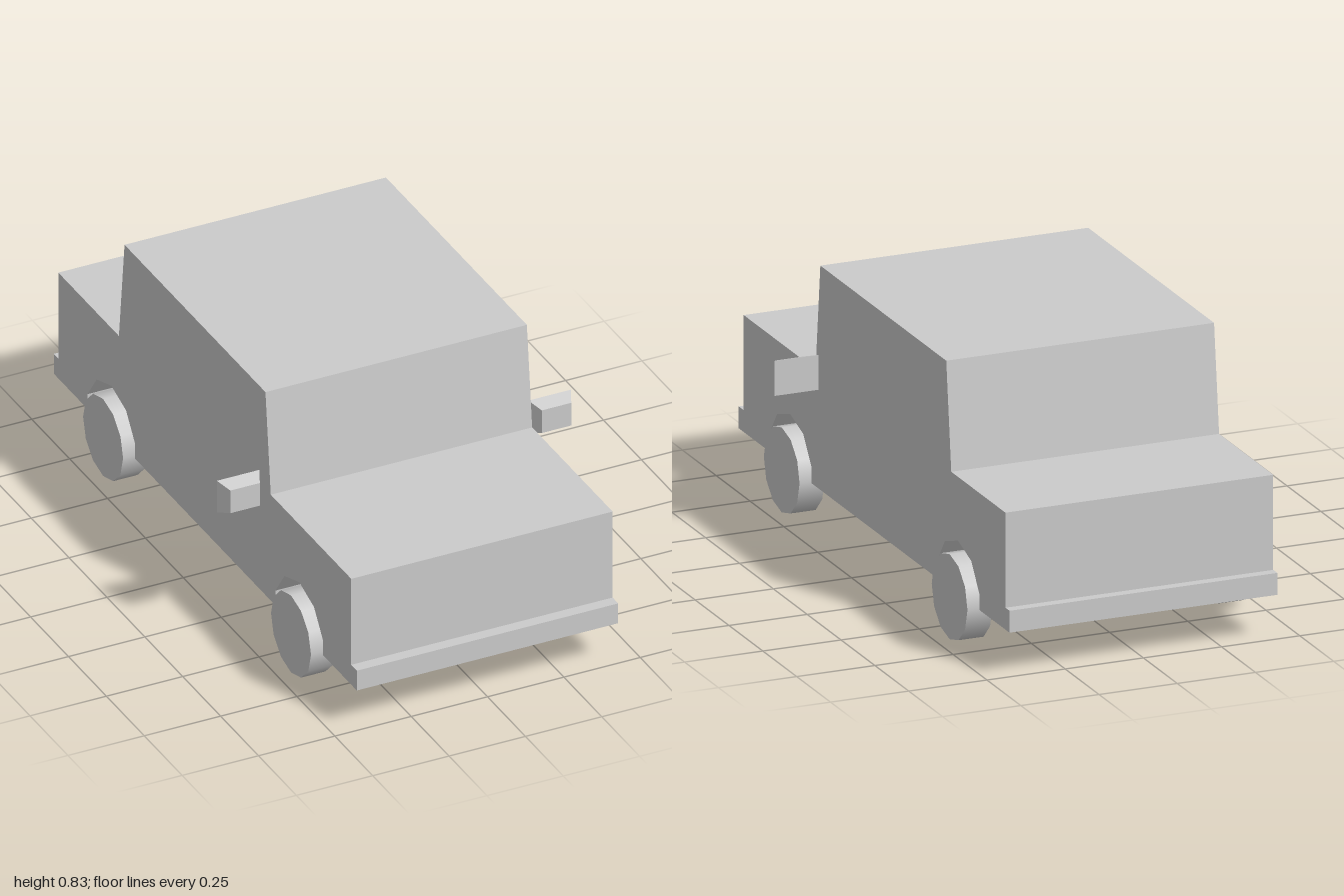
import * as THREE from 'three';

const FLOOR = 0.137, HALF_WIDTH = 0.428, WELL_INNER = 0.31;
const AXLES = [0.62, -0.62];

// Upper part of a ten-sided wheel arch, from the front foot over to the rear foot
function archPoints(axleZ) {
  const r = 0.165, pts = [];
  for (const deg of [18, 54, 90, 126, 162]) {
    const a = THREE.MathUtils.degToRad(deg);
    pts.push([axleZ + r * Math.cos(a), FLOOR + r * Math.sin(a)]);
  }
  return [[pts[0][0], FLOOR], ...pts, [pts[4][0], FLOOR]];
}

// Extrude a side profile of [z, y] points across the width
function extrudeAcross(points, halfWidth) {
  const shape = new THREE.Shape(points.map(([z, y]) => new THREE.Vector2(z, y)));
  return new THREE.ExtrudeGeometry(shape, { depth: 2 * halfWidth, bevelEnabled: false })
    .rotateY(-Math.PI / 2)
    .translate(halfWidth, 0, 0);
}

export function createModel() {
  const group = new THREE.Group();
  const material = new THREE.MeshStandardMaterial({ color: 0xcccccc });
  const add = (name, geometry) => {
    const mesh = new THREE.Mesh(geometry, material);
    mesh.name = name;
    group.add(mesh);
    return mesh;
  };

  // Body: bumpers, bonnet, cabin and boot in one profile with the arches cut out
  add('body', extrudeAcross([
    [-1, FLOOR], [-1, 0.205], [-0.97, 0.205], [-0.97, 0.5],
    [-0.57, 0.5], [-0.533, 0.833], [0.397, 0.833], [0.432, 0.5],
    [0.963, 0.5], [0.963, 0.205], [1, 0.205], [1, FLOOR],
    ...archPoints(AXLES[0]), ...archPoints(AXLES[1]),
  ], HALF_WIDTH));

  AXLES.forEach((z, i) => {
    const end = i === 0 ? 'front' : 'rear';

    // Floor between the wheel wells, closing their inner sides
    add(`${end}WheelWell`, extrudeAcross(archPoints(z), WELL_INNER));

    // Wheels: twelve sides with a corner at the top
    for (const side of [1, -1]) {
      const wheel = add(`${end}${side > 0 ? 'Left' : 'Right'}Wheel`,
        new THREE.CylinderGeometry(0.132, 0.132, 0.08, 12).rotateZ(Math.PI / 2));
      wheel.position.set(side * 0.415, 0.132, z);
    }
  });

  // Wing mirrors: blocks tapering towards the front
  for (const side of [1, -1]) {
    const geometry = new THREE.BoxGeometry(0.14, 0.108, 0.045);
    const p = geometry.attributes.position;
    for (let i = 0; i < p.count; i++) {
      if (p.getZ(i) > 0) p.setXY(i, p.getX(i) * 0.69, p.getY(i) * 0.72);
    }
    geometry.computeVertexNormals();
    const mirror = add(side > 0 ? 'leftMirror' : 'rightMirror', geometry);
    mirror.position.set(side * 0.51, 0.508, 0.405);
  }

  return group;
}
